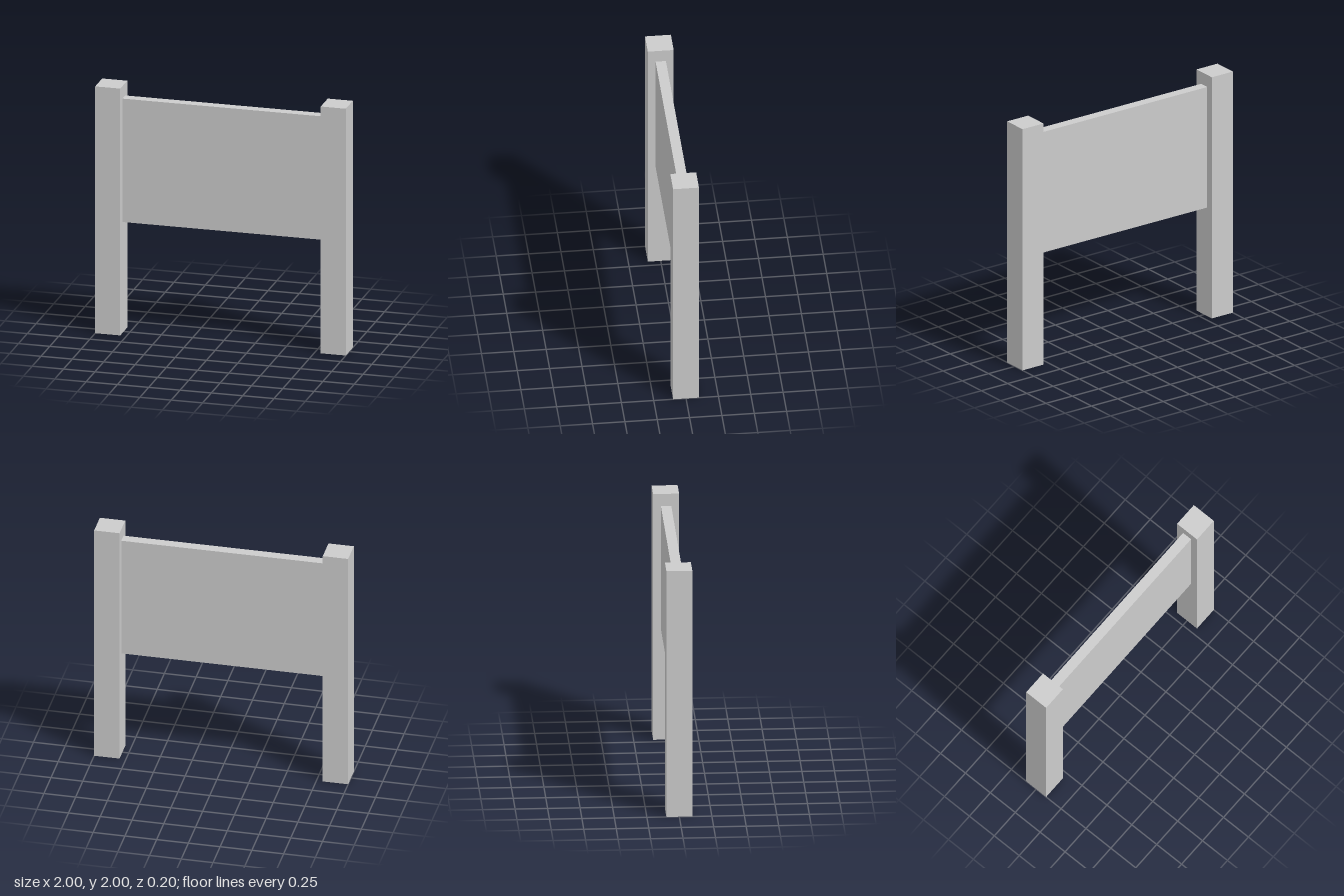
import * as THREE from 'three';

export function createModel() {
  const model = new THREE.Group();
  model.name = 'signBoard';
  const material = new THREE.MeshStandardMaterial({ color: 0xcccccc, flatShading: true });

  const addBox = (name, [w, h, d], [x, y, z]) => {
    const mesh = new THREE.Mesh(new THREE.BoxGeometry(w, h, d), material);
    mesh.name = name;
    mesh.position.set(x, y, z);
    model.add(mesh);
  };

  // Square posts at either end
  for (const side of [-1, 1]) {
    addBox(side > 0 ? 'leftPost' : 'rightPost', [0.2, 2, 0.2], [side * 0.9, 1, 0]);
  }

  // Thin board held between the posts
  addBox('panel', [1.6, 1, 0.08], [0, 1.4, 0]);

  return model;
}
